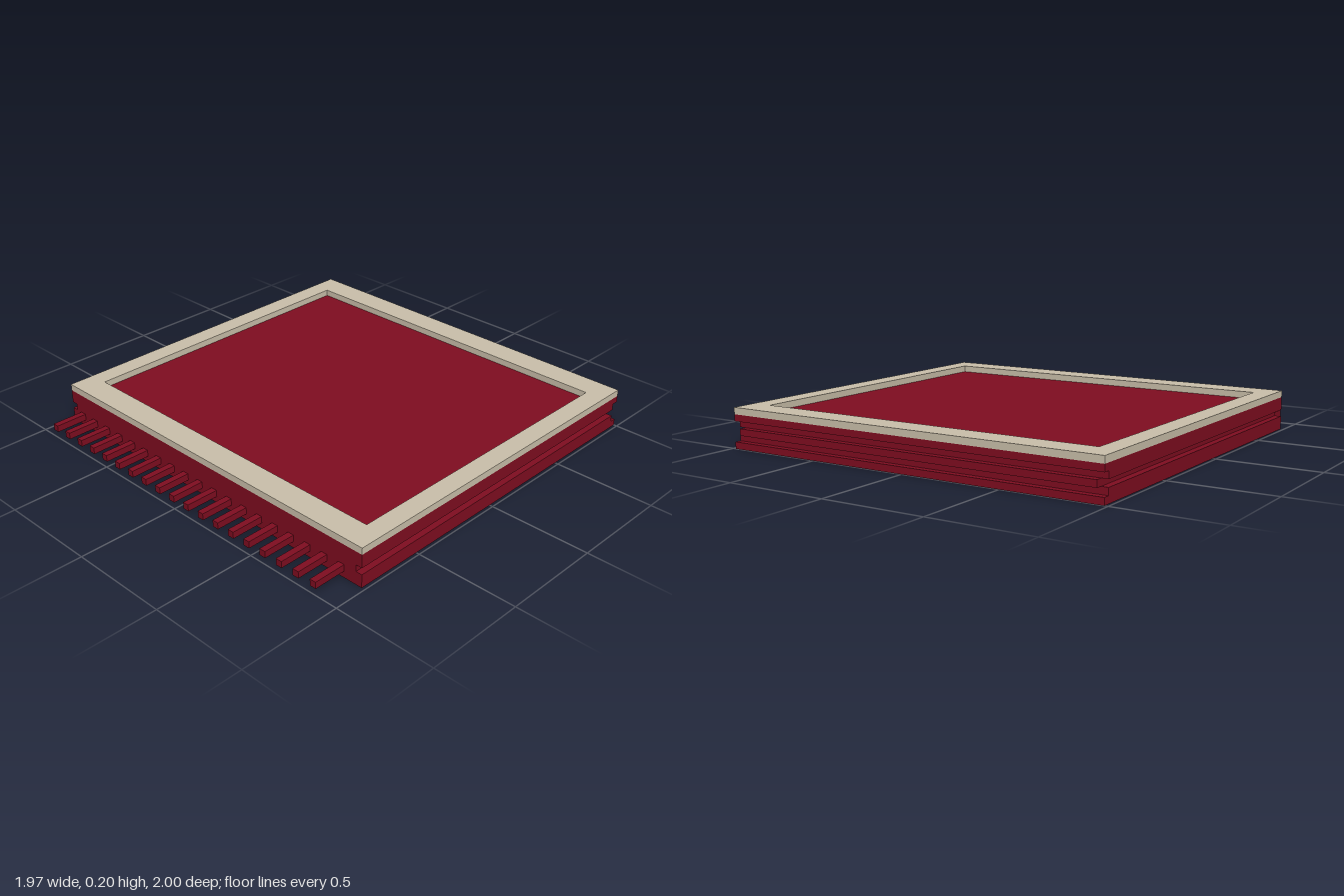
import * as THREE from 'three';

const U = 2 / 61; // one modelling unit: groove depth, pin width and layer height

export function createModel() {
  const model = new THREE.Group();
  model.name = 'framedPanel';
  const red = new THREE.MeshStandardMaterial({ color: 0x7f0d20 });
  red.name = 'dark red';
  const cream = new THREE.MeshStandardMaterial({ color: 0xcabfaa });
  cream.name = 'cream';

  const halfX = 30 * U, back = -1, front = -1 + 56 * U;

  // Box given by its limits on each axis
  function box(name, parent, x0, x1, y0, y1, z0, z1) {
    const mesh = new THREE.Mesh(new THREE.BoxGeometry(x1 - x0, y1 - y0, z1 - z0), red);
    mesh.position.set((x0 + x1) / 2, (y0 + y1) / 2, (z0 + z1) / 2);
    mesh.name = name;
    parent.add(mesh);
  }

  // Body layers: [name, inset at the sides, inset at the back]
  const body = new THREE.Group();
  body.name = 'body';
  model.add(body);
  [
    ['bottomPlate', 0, 0],
    ['lowerBackGroove', 0, U],
    ['sideGrooves', U, 0],
    ['upperBackGroove', 0, U],
    ['topPlate', 0, 0],
  ].forEach(([name, side, rear], i) =>
    box(name, body, -halfX + side, halfX - side, i * U, (i + 1) * U, back + rear, front));

  // Row of pins along the front edge
  const pins = new THREE.Group();
  pins.name = 'pins';
  model.add(pins);
  for (let i = 0; i < 19; i++) {
    const x = -halfX + (2 + 3 * i) * U;
    box('pin', pins, x, x + U, U, 2 * U, front, 1);
  }

  // Raised border around the panel; shape y becomes -z
  const rect = (path, x, y0, y1) =>
    path.moveTo(-x, y0).lineTo(x, y0).lineTo(x, y1).lineTo(-x, y1).closePath();
  const outline = rect(new THREE.Shape(), halfX, -front, -back);
  outline.holes.push(rect(new THREE.Path(), halfX - 3 * U, -front + 4 * U, -back - 4 * U));
  const geometry = new THREE.ExtrudeGeometry(outline, { depth: U, bevelEnabled: false });
  geometry.rotateX(-Math.PI / 2);
  const frame = new THREE.Mesh(geometry, cream);
  frame.position.y = 5 * U;
  frame.name = 'frame';
  model.add(frame);

  return model;
}
